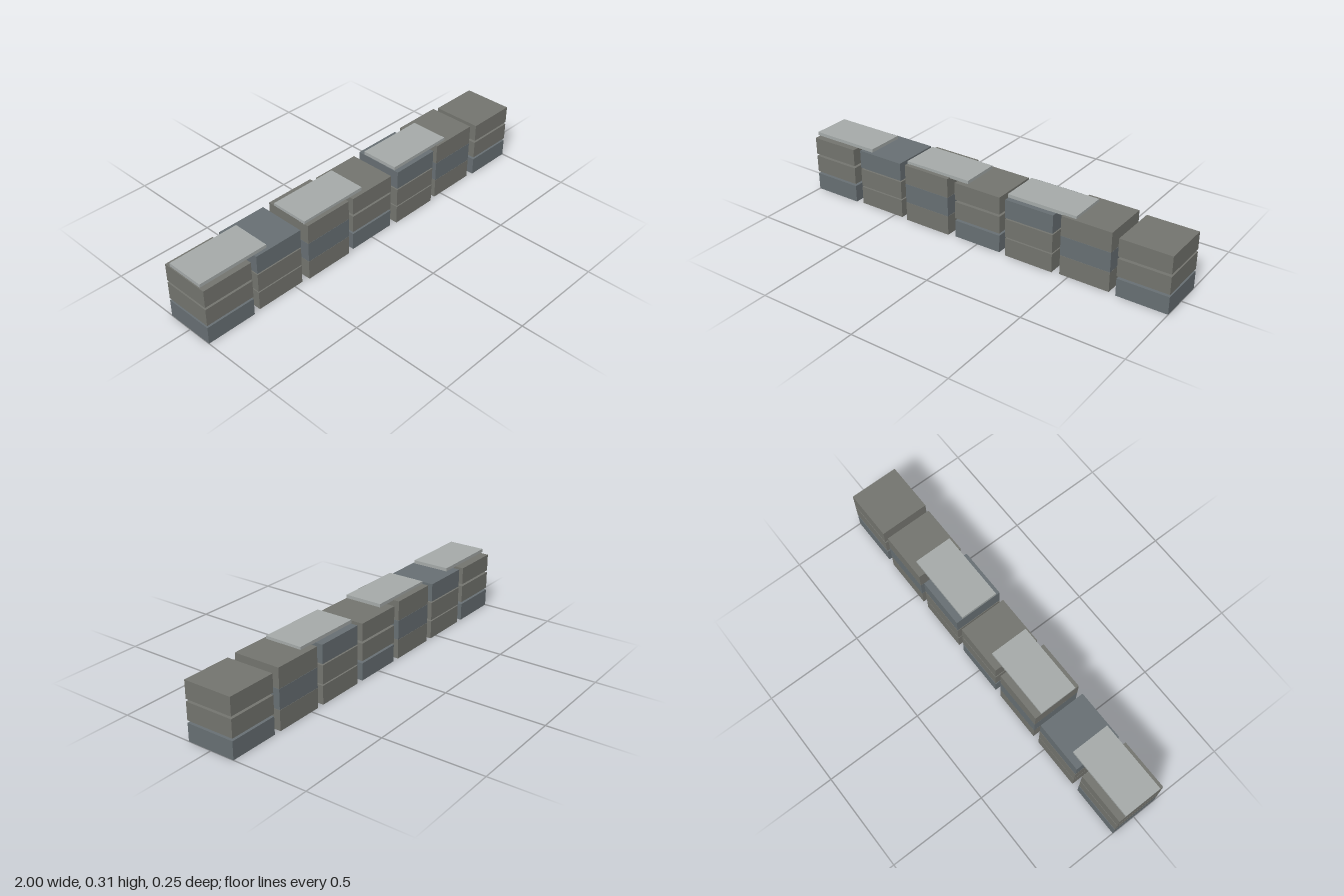
import * as THREE from 'three';

const makeMaterial = (color) => new THREE.MeshStandardMaterial({ color });

// Box given by its lower and upper limits on each axis
function block(name, material, [x0, x1], [y0, y1], [z0, z1]) {
  const mesh = new THREE.Mesh(new THREE.BoxGeometry(x1 - x0, y1 - y0, z1 - z0), material);
  mesh.position.set((x0 + x1) / 2, (y0 + y1) / 2, (z0 + z1) / 2);
  mesh.name = name;
  return mesh;
}

export function createModel() {
  const model = new THREE.Group();
  model.name = 'stoneWall';
  const warmStone = makeMaterial(0x74756f);
  const coolStone = makeMaterial(0x687074);
  const capStone = makeMaterial(0xa6abaa);

  const columns = 7, rows = 3;
  const stoneWidth = 0.254, pitch = 0.291, course = 0.1;
  const heights = [0.088, 0.093, 0.099];

  // Stacked stones: heights cycle by column, every second column is shallower
  for (let col = 0; col < columns; col++) {
    const x = -1 + col * pitch;
    const front = col % 2 ? 0.117 : 0.125;
    for (let row = 0; row < rows; row++) {
      const y = row * course;
      const material = (col + row) % 3 === 0 ? coolStone : warmStone;
      model.add(block(`stone_${row}_${col}`, material,
        [x, x + stoneWidth], [y, y + heights[col % 3]], [-0.125, front]));
    }
  }

  // Flat cap slabs, one on every second column
  for (let i = 0; i < 3; i++) {
    const x = -1 + i * 2 * pitch;
    model.add(block(`capSlab_${i}`, capStone, [x, x + 0.36], [0.296, 0.313], [-0.091, 0.104]));
  }
  return model;
}
